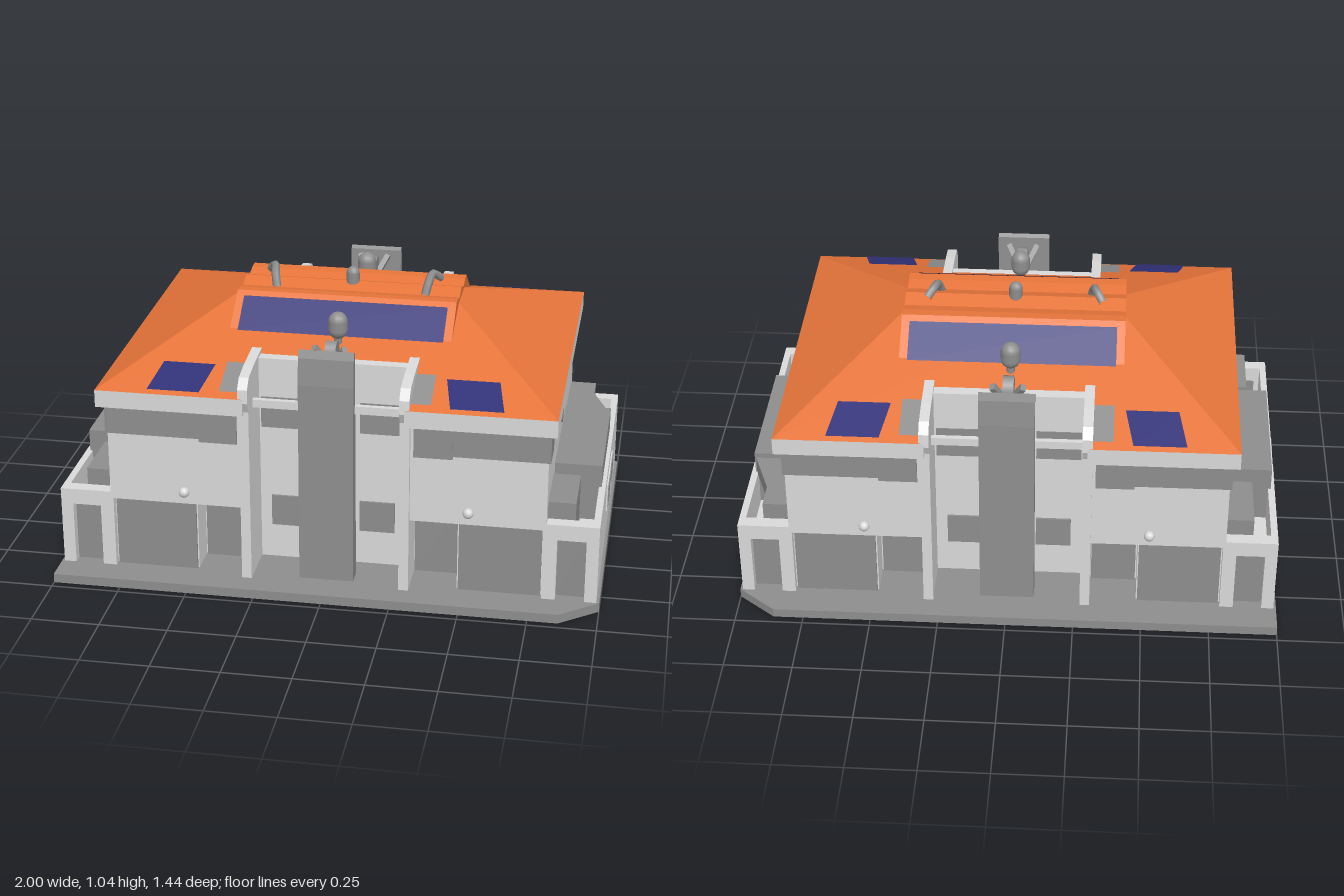
import * as THREE from 'three';

const mat = (name, color, side = THREE.FrontSide) => {
  const m = new THREE.MeshStandardMaterial({ color, side });
  m.name = name;
  return m;
};

export function createModel() {
  const white = mat('pale wall', 0xd9d9d9);
  const grey = mat('grey', 0x8e8e8e);
  const orange = mat('orange roof', 0xe6743a, THREE.DoubleSide);
  const blue = mat('blue glass', 0x303078, THREE.DoubleSide);
  const house = new THREE.Group();
  house.name = 'house';

  const add = (parent, name, geo, material) => {
    const m = new THREE.Mesh(geo, material);
    m.name = name;
    parent.add(m);
    return m;
  };
  // Box given by its limits
  const box = (parent, name, material, x0, x1, y0, y1, z0, z1) => {
    const g = new THREE.BoxGeometry(x1 - x0, y1 - y0, z1 - z0);
    g.translate((x0 + x1) / 2, (y0 + y1) / 2, (z0 + z1) / 2);
    return add(parent, name, g, material);
  };
  // Ground plan of [x, z] points, raised from y0 to y1
  const planShape = (pts) => new THREE.Shape(pts.map(([x, z]) => new THREE.Vector2(x, -z)));
  const raise = (parent, name, material, pts, y0, y1) => {
    const g = new THREE.ExtrudeGeometry(planShape(pts), { depth: y1 - y0, bevelEnabled: false });
    g.rotateX(-Math.PI / 2).translate(0, y0, 0);
    return add(parent, name, g, material);
  };
  // Plan polygon lifted onto a height rule
  const drape = (parent, name, material, pts, height) => {
    const g = new THREE.ShapeGeometry(planShape(pts));
    g.rotateX(-Math.PI / 2);
    const p = g.attributes.position;
    for (let i = 0; i < p.count; i++) p.setY(i, height(p.getX(i), p.getZ(i)));
    g.computeVertexNormals();
    return add(parent, name, g, material);
  };
  // Profile of [z, y] points swept along x
  const sweep = (parent, name, material, pts, x0, x1) => {
    const s = new THREE.Shape(pts.map(([z, y]) => new THREE.Vector2(-z, y)));
    const g = new THREE.ExtrudeGeometry(s, { depth: x1 - x0, bevelEnabled: false });
    g.rotateY(Math.PI / 2).translate(x0, 0, 0);
    return add(parent, name, g, material);
  };
  // Mirror a quarter outline into a closed symmetric plan
  const fourWay = (q) => {
    const r = [...q].reverse();
    return [...q, ...r.map(([x, z]) => [-x, z]), ...q.map(([x, z]) => [-x, -z]), ...r.map(([x, z]) => [x, -z])];
  };

  // Base with two cut corners
  raise(house, 'base', grey, [[-1, -0.72], [0.86, -0.72], [1, -0.61], [1, 0.61], [0.86, 0.72], [-1, 0.72]], 0, 0.035);

  // Walls: lower storey has garage and porch recesses
  raise(house, 'lowerWalls', white, fourWay([[0.8, 0.61], [0.79, 0.61], [0.79, 0.58], [0.48, 0.58], [0.48, 0.46],
    [0.3, 0.46], [0.3, 0.44], [0.28, 0.44]]), 0.035, 0.31);
  raise(house, 'upperWalls', white, fourWay([[0.8, 0.61], [0.28, 0.61], [0.28, 0.44]]), 0.31, 0.7);
  raise(house, 'fascia', white, fourWay([[0.83, 0.65], [0.29, 0.65], [0.29, 0.42]]), 0.69, 0.755);

  // Hipped roof with a notch at the middle of each long side
  const slope = (x, z) => 0.755 + 0.23 * (0.65 - Math.abs(z)) / 0.65;
  const endSlope = (x) => 0.755 + 0.23 * (0.83 - Math.abs(x)) / 0.48;
  for (const s of [1, -1]) {
    drape(house, 'roofLongSlope', orange, [[0.83, 0.65], [0.29, 0.65], [0.29, 0.4], [-0.29, 0.4], [-0.29, 0.65],
      [-0.83, 0.65], [-0.35, 0], [0.35, 0]].map(([x, z]) => [x, z * s]), slope);
    drape(house, 'roofEnd', orange, [[0.83 * s, 0.65], [0.83 * s, -0.65], [0.35 * s, 0]], endSlope);
  }

  // Raised roof crown that carries the skylights
  const crown = [[0.43, 0.825], [0.31, 0.868], [0.17, 0.968], [0.15, 0.982], [0.11, 0.98], [0.06, 0.968]];
  sweep(house, 'roofCrown', orange, [...crown, [0, 0.988], ...[...crown].reverse().map(([z, y]) => [-z, y])], -0.41, 0.41);

  // Ridge knob and horns
  const knob = add(house, 'ridgeKnob', new THREE.CapsuleGeometry(0.025, 0.04, 4, 10), grey);
  knob.position.set(0, 1.0, 0);
  for (const s of [1, -1]) {
    const path = new THREE.CatmullRomCurve3([[0.28, 0.965, 0.055], [0.29, 1.01, 0.03], [0.3, 1.027, -0.02], [0.325, 1.0, -0.055]]
      .map(([x, y, z]) => new THREE.Vector3(x * s, y, z)));
    add(house, 'ridgeHorn', new THREE.TubeGeometry(path, 10, 0.016, 6), grey);
  }

  // Long side, used for front and back
  const longSide = (turn) => {
    const g = new THREE.Group();
    g.name = turn ? 'backSide' : 'frontSide';
    g.rotation.y = turn;
    house.add(g);
    const glassHeight = (x, z) => 0.873 + (0.302 - z) * 0.714;
    drape(g, 'skylight', blue, [[-0.38, 0.3], [0.38, 0.3], [0.38, 0.175], [-0.38, 0.175]],
      (x, z) => glassHeight(x, z) + 0.006);

    // Central recess: back wall, beam and chimney slab
    box(g, 'recessWall', white, -0.29, 0.29, 0.6, 0.835, 0.4, 0.445);
    box(g, 'recessBeam', white, -0.28, 0.28, 0.69, 0.72, 0.54, 0.56);
    sweep(g, 'chimneySlab', grey, [[0.53, 0.035], [0.595, 0.035], [0.59, 0.8], [0.58, 0.9], [0.57, 0.93], [0.555, 0.92], [0.55, 0.8]], -0.1, 0.1);

    // Mast, lamp and dish above the recess
    const lamp = add(g, 'roofLamp', new THREE.CapsuleGeometry(0.036, 0.03, 5, 12), grey);
    lamp.position.set(0, 0.935, 0.33);
    add(g, 'lampPost', new THREE.CylinderGeometry(0.015, 0.015, 0.08, 8), grey).position.set(0, 0.87, 0.33);
    const dish = add(g, 'dish', new THREE.CylinderGeometry(0.045, 0.045, 0.04, 8), grey);
    dish.rotation.z = Math.PI / 2;
    dish.position.set(0, 0.88, 0.46);
    for (const s of [1, -1]) {
      const strut = box(g, 'dishStrut', grey, -0.01, 0.01, -0.07, 0.07, -0.012, 0.012);
      strut.position.set(0.025 * s, 0.86, 0.48);
      strut.rotation.set(0.5, 0, -0.45 * s);
    }

    for (const s of [1, -1]) {
      const b = (name, m, x0, x1, ...r) => box(g, name, m, Math.min(x0 * s, x1 * s), Math.max(x0 * s, x1 * s), ...r);
      const quad = (x0, x1, z0, z1) => [[x0 * s, z0], [x1 * s, z0], [x1 * s, z1], [x0 * s, z1]];
      // Corner skylights and side patches on the roof
      drape(g, 'cornerSkylight', blue, [[0.42 * s, 0.49], [0.61 * s, 0.49], [0.64 * s, 0.635], [0.45 * s, 0.635]],
        (x, z) => slope(x, z) + 0.007);
      drape(g, 'roofPatch', grey, quad(0.3, 0.38, 0.47, 0.62), (x, z) => slope(x, z) + 0.005);
      // Tall fin beside the recess
      sweep(g, 'fin', white, [[0.38, 0.035], [0.63, 0.035], [0.63, 0.7], [0.65, 0.74], [0.645, 0.79], [0.61, 0.825], [0.52, 0.84],
        [0.38, 0.85]], 0.29 * s - 0.018, 0.29 * s + 0.018);
      // Doors and windows
      b('garageDoor', grey, 0.485, 0.785, 0.035, 0.305, 0.58, 0.589);
      b('porchDoor', grey, 0.31, 0.475, 0.035, 0.3, 0.46, 0.468);
      b('recessUpperWindow', grey, 0.1, 0.265, 0.565, 0.685, 0.44, 0.448);
      b('recessLowerWindow', grey, 0.1, 0.23, 0.17, 0.29, 0.44, 0.448);
      b('upperWindow', grey, 0.32, 0.46, 0.565, 0.69, 0.61, 0.619);
      b('eaveBand', grey, 0.46, 0.8, 0.575, 0.69, 0.61, 0.615);
      add(g, 'wallLamp', new THREE.SphereGeometry(0.02, 10, 8), white).position.set(0.52 * s, 0.36, 0.62);
    }
  };
  longSide(0);
  longSide(Math.PI);

  // End with walled yard, used for left and right
  const endSide = (turn) => {
    const g = new THREE.Group();
    g.name = turn ? 'rightEnd' : 'leftEnd';
    g.rotation.y = turn;
    house.add(g);
    box(g, 'yardWall', white, 0.965, 0.99, 0.035, 0.335, -0.61, 0.61);
    box(g, 'yardBlock', grey, 0.8, 0.975, 0.035, 0.42, -0.27, 0.27);
    box(g, 'yardWindowPanel', white, 0.99, 0.995, 0.185, 0.29, -0.16, 0.16);
    const vent = add(g, 'roundVent', new THREE.CylinderGeometry(0.034, 0.034, 0.008, 16), grey);
    vent.rotation.z = Math.PI / 2;
    vent.position.set(0.803, 0.51, 0.015);
    for (const s of [1, -1]) {
      const b = (name, m, x0, x1, y0, y1, z0, z1) =>
        box(g, name, m, x0, x1, y0, y1, Math.min(z0 * s, z1 * s), Math.max(z0 * s, z1 * s));
      // Doorway at each end of the yard
      b('gatePost', white, 0.8, 0.84, 0.035, 0.335, 0.56, 0.61);
      b('gatePost', white, 0.945, 0.966, 0.035, 0.335, 0.56, 0.61);
      b('gateLintel', white, 0.84, 0.945, 0.275, 0.335, 0.56, 0.61);
      b('gate', grey, 0.84, 0.945, 0.035, 0.275, 0.565, 0.573);
      b('yardShed', grey, 0.8, 0.9, 0.035, 0.4, 0.32, 0.56);
      b('yardLedge', white, 0.9, 0.965, 0.035, 0.2, 0.27, 0.56);
      // Windows
      b('yardWindow', grey, 0.99, 0.998, 0.195, 0.285, 0.055, 0.145);
      b('endWindow', grey, 0.8, 0.808, 0.61, 0.68, 0.085, 0.145);
      b('cornerShade', grey, 0.8, 0.808, 0.575, 0.69, 0.49, 0.615);
    }
  };
  endSide(0);
  endSide(Math.PI);

  // Slanted cover over one yard corner
  raise(house, 'yardCover', grey, [[0.81, -0.56], [0.86, -0.56], [0.97, -0.27], [0.81, -0.27]], 0.33, 0.4);

  return house;
}
